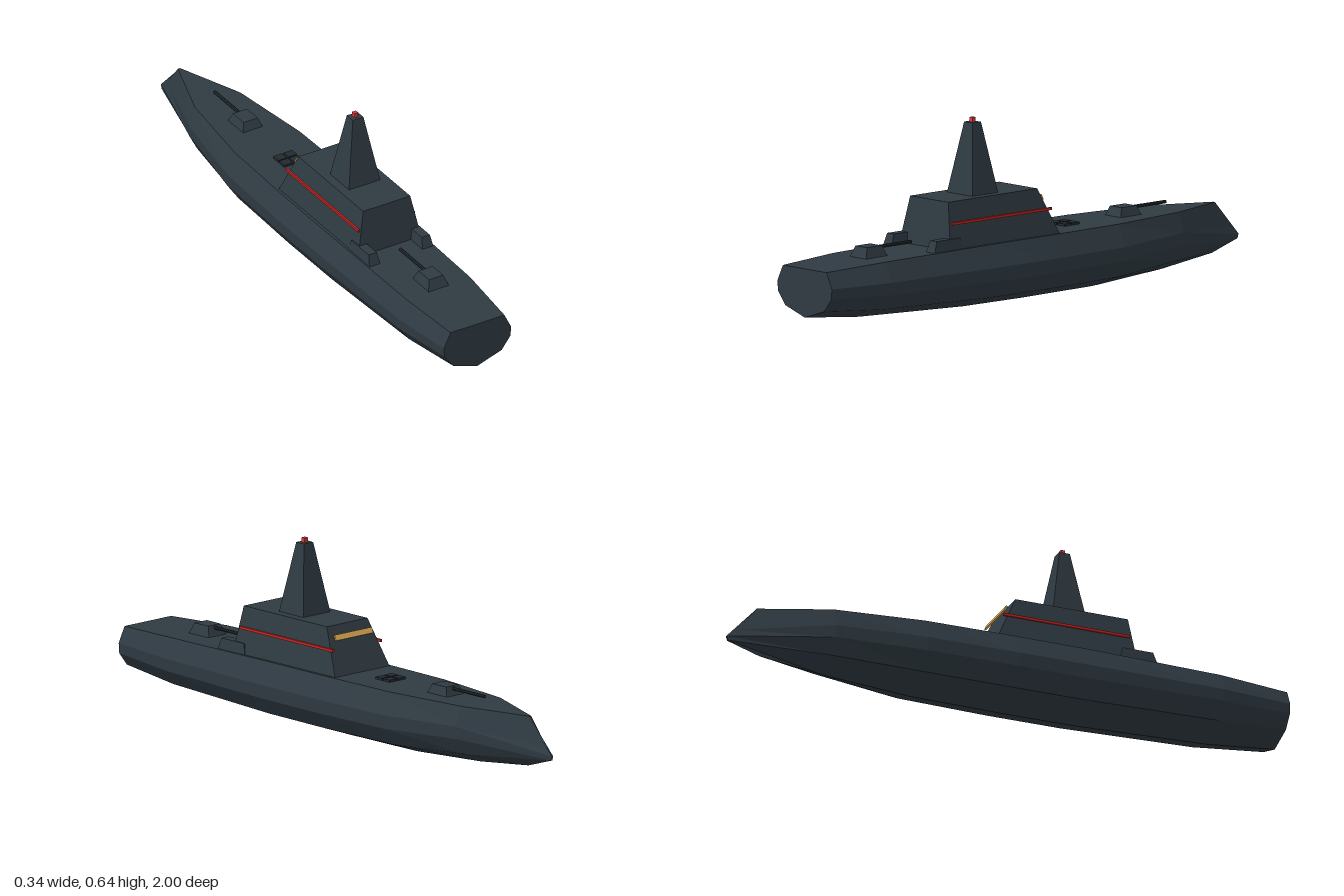
import * as THREE from 'three';

const paint = (name, color, flatShading = true) =>
  Object.assign(new THREE.MeshStandardMaterial({ color, flatShading }), { name });

// Half sections, deck edge down to keel, as [x, y, z]
function section(z, w, deck, keel) {
  return [
    [w * 0.8, deck, z],
    [w, keel + (deck - keel) * 0.67, z],
    [w * 0.98, keel + (deck - keel) * 0.46, z],
    [w * 0.72, keel + (deck - keel) * 0.19, z],
    [0, keel, z],
  ];
}

function hullGeometry() {
  const halves = [
    section(1, 0.133, 0.216, 0.05),
    section(0.75, 0.16, 0.225, 0.024),
    section(0.27, 0.168, 0.23, 0.004),
    section(0, 0.168, 0.23, 0.002),
    section(-0.33, 0.16, 0.23, 0.004),
    section(-0.645, 0.112, 0.23, 0.025),
    // raked stem
    [[0.004, 0.225, -0.89], [0.004, 0.134, -0.963], [0.003, 0.105, -1],
      [0.003, 0.09, -0.995], [0, 0.053, -0.88]],
  ];
  const rings = halves.map((h) =>
    [...h, ...h.slice(0, 4).reverse().map(([x, y, z]) => [-x, y, z])]);
  const n = rings[0].length;
  const pos = [];
  const tri = (...corners) => corners.forEach((c) => pos.push(...c));
  for (let i = 0; i < rings.length - 1; i++) {
    for (let j = 0; j < n; j++) {
      const k = (j + 1) % n;
      tri(rings[i][j], rings[i][k], rings[i + 1][k]);
      tri(rings[i][j], rings[i + 1][k], rings[i + 1][j]);
    }
  }
  const stern = rings[0];
  const stem = rings[rings.length - 1];
  for (let k = 1; k < n - 1; k++) {
    tri(stern[0], stern[k + 1], stern[k]);
    tri(stem[0], stem[k], stem[k + 1]);
  }
  const geo = new THREE.BufferGeometry();
  geo.setAttribute('position', new THREE.Float32BufferAttribute(pos, 3));
  geo.computeVertexNormals();
  return geo;
}

// Tapered block: each end is { y, x: half width, z0, z1 }
function taperedBlock(bottom, top) {
  const geo = new THREE.BoxGeometry(2, 2, 2);
  const p = geo.attributes.position;
  for (let i = 0; i < p.count; i++) {
    const e = p.getY(i) > 0 ? top : bottom;
    p.setXYZ(i, p.getX(i) * e.x, e.y, p.getZ(i) > 0 ? e.z1 : e.z0);
  }
  geo.computeVertexNormals();
  return geo;
}

export function createModel() {
  const ship = new THREE.Group();
  ship.name = 'warship';
  const steel = paint('slate steel', 0x2f3a42);
  const dark = paint('dark gunmetal', 0x222a30);
  const red = paint('signal red', 0xc4231f);
  const beaconRed = paint('beacon red', 0xd63a3a);
  const amber = paint('amber glass', 0xd9a850);

  const add = (name, geo, mat, x = 0, y = 0, z = 0, parent = ship) => {
    const m = new THREE.Mesh(geo, mat);
    m.name = name;
    m.position.set(x, y, z);
    parent.add(m);
    return m;
  };

  add('hull', hullGeometry(), steel);

  // Superstructure and mast
  add('superstructure', taperedBlock(
    { y: 0.22, x: 0.126, z0: -0.064, z1: 0.446 },
    { y: 0.387, x: 0.093, z0: 0.015, z1: 0.425 }), steel);
  add('mast', taperedBlock(
    { y: 0.385, x: 0.062, z0: 0.165, z1: 0.285 },
    { y: 0.627, x: 0.021, z0: 0.206, z1: 0.244 }), steel);
  add('beacon', new THREE.BoxGeometry(0.015, 0.016, 0.015), beaconRed, 0, 0.635, 0.225);

  // Bridge window, parallel to the sloped face
  const bridge = add('bridgeWindow', new THREE.BoxGeometry(0.17, 0.02, 0.006), amber, 0, 0.352, -0.016);
  bridge.rotation.x = Math.atan2(0.079, 0.167);

  for (const s of [1, -1]) {
    add('sideStripe', new THREE.BoxGeometry(0.008, 0.009, 0.46), red, s * 0.109, 0.315, 0.195);
    // Launchers beside the superstructure
    add('sideLauncher', taperedBlock(
      { y: 0.222, x: 0.022, z0: 0.382, z1: 0.52 },
      { y: 0.266, x: 0.016, z0: 0.395, z1: 0.505 }), steel, s * 0.105);
  }

  // Gun turrets, both aimed toward the bow
  for (const [name, z] of [['foreTurret', -0.47], ['aftTurret', 0.705]]) {
    const turret = new THREE.Group();
    turret.name = name;
    turret.position.z = z;
    ship.add(turret);
    add('gunHouse', taperedBlock(
      { y: 0.222, x: 0.041, z0: -0.052, z1: 0.05 },
      { y: 0.261, x: 0.028, z0: -0.034, z1: 0.034 }), steel, 0, 0, 0, turret);
    const barrel = add('gunBarrel', new THREE.CylinderGeometry(0.006, 0.006, 0.16, 8),
      dark, 0, 0.252, -0.115, turret);
    barrel.rotation.x = Math.PI / 2;
  }

  // Missile hatches
  for (const x of [-0.02, 0.02]) {
    for (const z of [-0.218, -0.181]) {
      add('deckHatch', new THREE.BoxGeometry(0.034, 0.012, 0.032), dark, x, 0.232, z);
    }
  }
  return ship;
}
